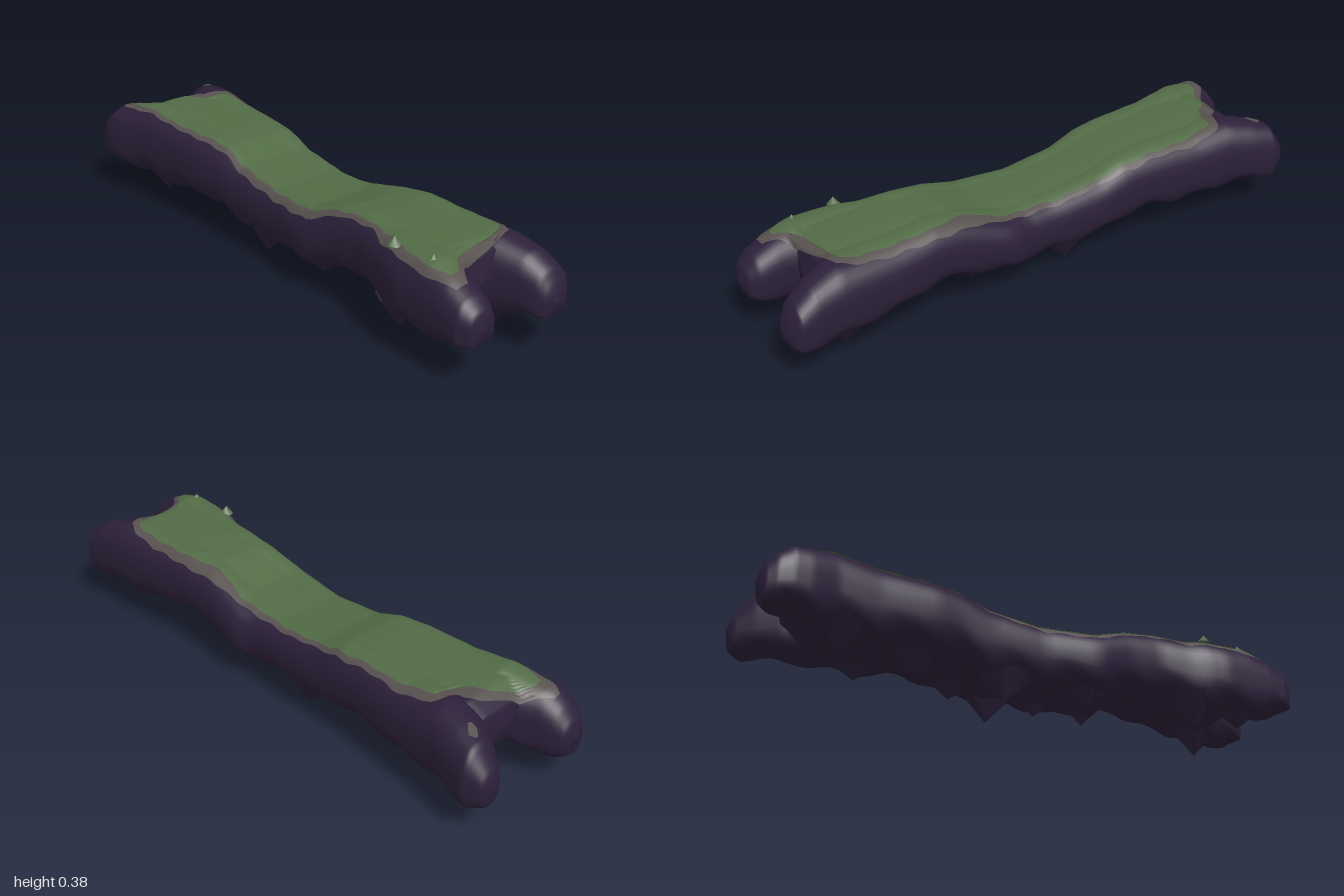
import * as THREE from 'three';

// Linear lookup in rows [x, a, b, ...] sorted by x
function lookup(rows, x) {
  if (x <= rows[0][0]) return rows[0].slice(1);
  for (let i = 1; i < rows.length; i++) {
    if (x <= rows[i][0]) {
      const a = rows[i - 1], b = rows[i], t = (x - a[0]) / (b[0] - a[0]);
      return a.slice(1).map((v, k) => v + (b[k + 1] - v) * t);
    }
  }
  return rows[rows.length - 1].slice(1);
}

// Side ridges and middle: rows [x, z far, z near, top, bottom]
const frontRidge = [
  [-1, 0.18, 0.18, 0.2, 0.2], [-0.985, 0.235, 0.135, 0.25, 0.135], [-0.95, 0.255, 0.115, 0.295, 0.122],
  [-0.9, 0.262, 0.095, 0.335, 0.12], [-0.84, 0.255, 0.06, 0.345, 0.12], [-0.75, 0.228, 0.03, 0.367, 0.12],
  [-0.6, 0.21, 0.02, 0.353, 0.11], [-0.4, 0.2, 0.02, 0.35, 0.13], [-0.3, 0.185, 0.02, 0.343, 0.12],
  [-0.2, 0.177, 0.02, 0.308, 0.095], [0, 0.172, 0.02, 0.288, 0.095], [0.2, 0.195, 0.02, 0.298, 0.1],
  [0.33, 0.172, 0.02, 0.343, 0.14], [0.45, 0.167, 0.02, 0.36, 0.155], [0.57, 0.19, 0.02, 0.355, 0.13],
  [0.63, 0.212, 0.03, 0.36, 0.12], [0.7, 0.225, 0.03, 0.358, 0.12], [0.8, 0.222, 0.03, 0.363, 0.12],
  [0.88, 0.22, 0.06, 0.335, 0.13], [0.95, 0.215, 0.07, 0.3, 0.135], [0.985, 0.19, 0.09, 0.265, 0.15],
  [1, 0.14, 0.14, 0.21, 0.21]];
const backRidge = [
  [-0.99, -0.19, -0.19, 0.2, 0.2], [-0.975, -0.15, -0.235, 0.25, 0.14], [-0.92, -0.11, -0.265, 0.325, 0.12],
  [-0.84, -0.06, -0.25, 0.35, 0.12], [-0.75, -0.03, -0.23, 0.368, 0.12], [-0.6, -0.02, -0.215, 0.353, 0.11],
  [-0.4, -0.02, -0.197, 0.35, 0.13], [-0.3, -0.02, -0.192, 0.343, 0.12], [-0.2, -0.02, -0.19, 0.308, 0.095],
  [0, -0.02, -0.18, 0.288, 0.095], [0.1, -0.02, -0.182, 0.29, 0.095], [0.17, -0.02, -0.21, 0.295, 0.1],
  [0.33, -0.02, -0.195, 0.345, 0.14], [0.45, -0.02, -0.2, 0.362, 0.155], [0.6, -0.02, -0.215, 0.358, 0.13],
  [0.8, -0.03, -0.23, 0.364, 0.12], [0.9, -0.075, -0.237, 0.335, 0.13], [0.96, -0.1, -0.238, 0.295, 0.13],
  [0.985, -0.12, -0.215, 0.25, 0.145], [1, -0.16, -0.16, 0.2, 0.2]];
const middle = [
  [-0.86, 0, 0, 0.25, 0.25], [-0.845, 0.13, -0.13, 0.32, 0.18], [-0.78, 0.15, -0.15, 0.357, 0.135],
  [-0.65, 0.15, -0.15, 0.356, 0.105], [-0.5, 0.15, -0.15, 0.351, 0.105], [-0.38, 0.15, -0.15, 0.348, 0.13],
  [-0.3, 0.15, -0.15, 0.342, 0.105], [-0.2, 0.14, -0.14, 0.308, 0.085], [0, 0.14, -0.14, 0.289, 0.075],
  [0.2, 0.15, -0.15, 0.298, 0.08], [0.3, 0.15, -0.15, 0.331, 0.095], [0.36, 0.14, -0.14, 0.35, 0.15],
  [0.5, 0.14, -0.14, 0.36, 0.145], [0.65, 0.15, -0.15, 0.359, 0.115], [0.77, 0.15, -0.15, 0.357, 0.115],
  [0.82, 0.13, -0.13, 0.335, 0.16], [0.84, 0, 0, 0.25, 0.25]];
// rows, roundness above, roundness below
const lofts = [[frontRidge, 2.25, 2.4], [backRidge, 2.25, 2.4], [middle, 4, 2.6]];

// Rounded body swept along x
function loftGeometry(rows, powerTop, powerLow) {
  const steps = 110, sides = 32, pos = [], idx = [];
  const x0 = rows[0][0], x1 = rows[rows.length - 1][0];
  for (let i = 0; i <= steps; i++) {
    // closer rings near both ends
    const u = i / steps, e = u - Math.sin(u * Math.PI * 2) * 0.12;
    const x = x0 + (x1 - x0) * e;
    const [za, zb, yt, yb] = lookup(rows, x);
    for (let j = 0; j < sides; j++) {
      const a = j / sides * Math.PI * 2, low = Math.max(0, -Math.sin(a));
      // squarer undersides toward the ends
      const power = Math.sin(a) > 0 ? powerTop : powerLow + x * x;
      const bend = v => Math.sign(v) * Math.pow(Math.abs(v), 2 / power);
      const lump = low * 0.012 * Math.sin(x * 31 + a * 2) * Math.min(1, (yt - yb) * 8);
      pos.push(x, (yt + yb) / 2 + (yt - yb) / 2 * bend(Math.sin(a)) + lump,
        (za + zb) / 2 + (za - zb) / 2 * bend(Math.cos(a)));
      if (i < steps) {
        const k = (j + 1) % sides, p = i * sides, q = p + sides;
        idx.push(p + j, q + j, p + k, q + j, q + k, p + k);
      }
    }
  }
  return finish(pos, idx);
}

function finish(pos, idx) {
  const g = new THREE.BufferGeometry();
  g.setAttribute('position', new THREE.Float32BufferAttribute(pos, 3));
  g.setIndex(idx);
  g.computeVertexNormals();
  return g;
}

// Height of the rock's upper surface
function topAt(x, z) {
  let h = 0.3;
  if (Math.abs(x) < 0.3) h = 0.24;
  for (const [rows, p] of lofts) {
    if (x < rows[0][0] || x > rows[rows.length - 1][0]) continue;
    const [za, zb, yt, yb] = lookup(rows, x);
    const s = Math.abs((z - (za + zb) / 2) / Math.max((za - zb) / 2, 1e-5));
    if (s < 1) h = Math.max(h, (yt + yb) / 2 + (yt - yb) / 2 * Math.pow(1 - Math.pow(s, p), 1 / p));
  }
  return h;
}

// Thin cover lying on the rock: rows [x, back z, front z]
function coverGeometry(rows, lift, wobble) {
  const nx = 140, nz = 36, pos = [], idx = [];
  const x0 = rows[0][0], x1 = rows[rows.length - 1][0];
  for (let i = 0; i <= nx; i++) {
    const x = x0 + (x1 - x0) * i / nx;
    let [zb, zf] = lookup(rows, x);
    zb += wobble * Math.sin(x * 41) * Math.cos(x * 17);
    zf += wobble * Math.sin(x * 33 + 1) * Math.cos(x * 23);
    for (let j = 0; j <= nz; j++) {
      const z = zb + (zf - zb) * j / nz;
      pos.push(x, topAt(x, z) + lift, z);
      if (i < nx && j < nz) {
        const a = i * (nz + 1) + j, b = a + nz + 1;
        idx.push(a, a + 1, b, b, a + 1, b + 1);
      }
    }
  }
  return finish(pos, idx);
}

const grassEdge = [
  [-0.86, 0.14, 0.165], [-0.83, 0.08, 0.178], [-0.79, 0, 0.175], [-0.74, -0.04, 0.17], [-0.715, -0.07, 0.165],
  [-0.7, -0.145, 0.16], [-0.5, -0.16, 0.148], [-0.3, -0.15, 0.135], [0, -0.135, 0.135], [0.2, -0.135, 0.15],
  [0.32, -0.12, 0.138], [0.45, -0.145, 0.133], [0.6, -0.158, 0.145], [0.72, -0.15, 0.175], [0.77, -0.135, 0.18],
  [0.785, -0.08, 0.18], [0.8, 0.06, 0.18], [0.83, 0.1, 0.178], [0.87, 0.13, 0.165]];
const soilEdge = [
  [-0.92, 0.155, 0.185], [-0.87, 0.105, 0.2], [-0.835, 0.03, 0.198], [-0.8, -0.05, 0.195], [-0.745, -0.1, 0.185],
  [-0.72, -0.175, 0.178], [-0.6, -0.18, 0.166], [-0.4, -0.17, 0.16], [-0.28, -0.165, 0.15], [-0.15, -0.155, 0.155],
  [0, -0.15, 0.154], [0.2, -0.155, 0.175], [0.35, -0.17, 0.148], [0.5, -0.178, 0.146], [0.62, -0.185, 0.182],
  [0.74, -0.172, 0.2], [0.795, -0.15, 0.2], [0.815, -0.08, 0.2], [0.825, 0.05, 0.2], [0.86, 0.1, 0.195],
  [0.91, 0.13, 0.175]];
const patchEdge = [[-0.9, -0.185, -0.175], [-0.88, -0.195, -0.155], [-0.86, -0.175, -0.15], [-0.85, -0.165, -0.155]];

// Hanging rock points: [x, z, tip height, half length]
const points = [
  [-0.7, 0.13, 0.045, 0.09], [-0.58, -0.1, 0.065, 0.13], [-0.54, 0.09, 0.075, 0.13], [-0.42, 0.04, 0.055, 0.1],
  [-0.25, -0.07, 0.05, 0.14], [-0.12, 0.09, 0, 0.16], [-0.1, -0.095, 0.002, 0.15], [0.05, -0.03, 0.028, 0.13],
  [0.19, 0.09, 0.045, 0.14], [0.26, -0.07, 0.05, 0.1], [0.61, 0.12, 0.04, 0.08], [0.67, -0.06, 0.085, 0.11],
  [0.77, -0.13, 0.045, 0.1], [0.79, 0.12, 0.065, 0.11]];

export function createModel() {
  const rock = new THREE.MeshStandardMaterial({ color: 0x2c2039 });
  const soil = new THREE.MeshStandardMaterial({ color: 0x57514f, side: THREE.DoubleSide });
  const grass = new THREE.MeshStandardMaterial({ color: 0x526b46, side: THREE.DoubleSide });
  rock.name = 'dark purple rock';
  soil.name = 'grey brown soil';
  grass.name = 'moss green grass';

  const model = new THREE.Group();
  model.name = 'rockBridge';
  const add = (name, geometry, material) => {
    const mesh = new THREE.Mesh(geometry, material);
    mesh.name = name;
    model.add(mesh);
  };

  // Rock body
  ['frontRidge', 'backRidge', 'middleRock'].forEach((name, i) => add(name, loftGeometry(...lofts[i]), rock));

  // Soil rim with grass on top
  add('soilRim', coverGeometry(soilEdge, 0.003, 0.005), soil);
  add('grassTop', coverGeometry(grassEdge, 0.006, 0.006), grass);
  add('soilPatch', coverGeometry(patchEdge, 0.004, 0), soil);

  // Pointed rocks below, long and narrow
  points.forEach(([x, z, tip, r], i) => {
    const h = 0.155 - tip;
    const cone = new THREE.ConeGeometry(1, h, 7, 1).rotateX(Math.PI).rotateY(i * 1.3);
    add('hangingRock', cone.scale(r, 1, Math.min(r, 0.08)).translate(x, tip + h / 2, z), rock);
  });

  // Small raised tufts near the front left corner
  for (const [x, y, z] of [[0.635, 0.365, 0.17], [0.79, 0.362, 0.155]]) {
    add('grassTuft', new THREE.ConeGeometry(0.025, 0.03, 6).translate(x, y, z), grass);
  }
  return model;
}
